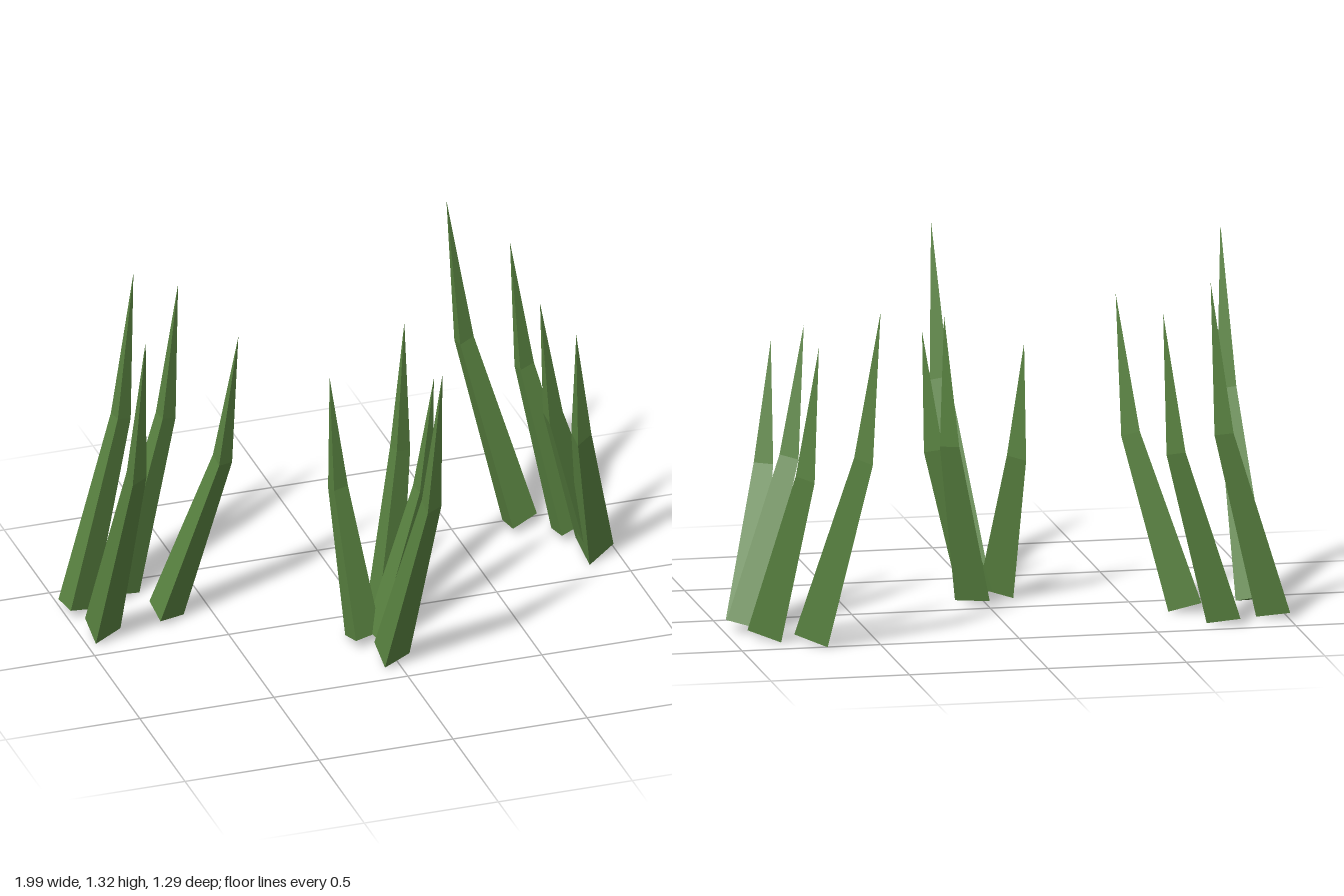
import * as THREE from 'three';

const BASE_RADIUS = 0.075;
const BEND_RADIUS = 0.042;
const GROUND = 0.025;
const UP = new THREE.Vector3(0, 1, 0);

// Each blade: base x, base z, tip x, tip y, tip z
const tufts = {
  rightTuft: [
    [-0.9625, -0.335, -0.70, 1.25, -0.46],
    [-0.77, -0.40, -0.52, 1.155, -0.50],
    [-0.675, -0.19, -0.435, 1.14, -0.085],
    [-0.9325, -0.135, -0.865, 1.32, 0.165],
  ],
  middleTuft: [
    [-0.0225, 0.365, 0.08, 1.268, 0.645],
    [-0.0025, 0.217, 0.215, 0.98, 0.15],
    [0.03, 0.113, 0.185, 1.09, -0.087],
    [-0.075, 0.20, -0.12, 0.96, -0.01],
  ],
  leftTuft: [
    [0.7275, -0.445, 0.53, 1.24, -0.645],
    [0.8725, -0.333, 0.73, 1.095, -0.535],
    [0.92, -0.197, 0.692, 1.08, -0.09],
    [0.912, -0.15, 0.785, 1.0, 0.035],
  ],
};

// Three-sided blade: leaning stem section, then a steeper pointed section
function bladeGeometry([bx, bz, tx, ty, tz]) {
  const base = new THREE.Vector3(bx, GROUND, bz);
  const tip = new THREE.Vector3(tx, ty, tz);
  const bend = new THREE.Vector3(
    bx + (tx - bx) * 0.77,
    GROUND + (ty - GROUND) * 0.552,
    bz + (tz - bz) * 0.77,
  );
  const tilt = new THREE.Quaternion().setFromUnitVectors(UP, bend.clone().sub(base).normalize());
  const ring = (centre, radius) => [0, 1, 2].map((i) => {
    const a = (i * Math.PI * 2) / 3;
    return new THREE.Vector3(Math.cos(a) * radius, 0, Math.sin(a) * radius)
      .applyQuaternion(tilt).add(centre);
  });
  const low = ring(base, BASE_RADIUS);
  const mid = ring(bend, BEND_RADIUS);

  const points = [low[0], low[1], low[2]]; // underside
  for (let i = 0; i < 3; i++) {
    const j = (i + 1) % 3;
    points.push(low[i], mid[i], mid[j], low[i], mid[j], low[j]); // lower section
    points.push(mid[i], tip, mid[j]); // pointed section
  }
  const geometry = new THREE.BufferGeometry().setFromPoints(points);
  geometry.computeVertexNormals();
  return geometry;
}

export function createModel() {
  const grassGreen = new THREE.MeshStandardMaterial({ color: 0x5b8542, flatShading: true });
  grassGreen.name = 'grassGreen';

  const model = new THREE.Group();
  model.name = 'grass';
  for (const [name, blades] of Object.entries(tufts)) {
    const tuft = new THREE.Group();
    tuft.name = name;
    blades.forEach((blade, i) => {
      const mesh = new THREE.Mesh(bladeGeometry(blade), grassGreen);
      mesh.name = `blade${i + 1}`;
      tuft.add(mesh);
    });
    model.add(tuft);
  }
  return model;
}
